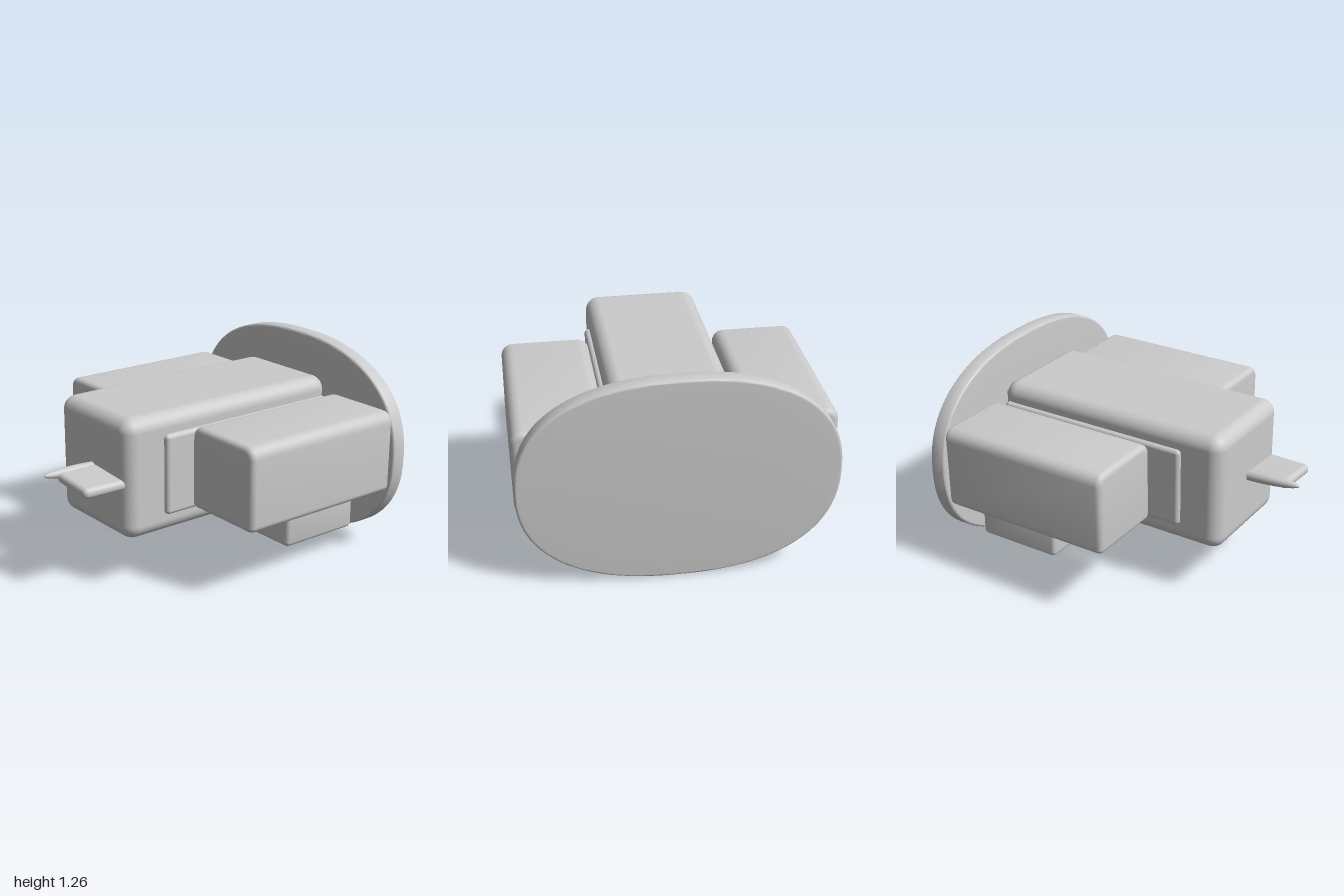
import * as THREE from 'three';
import { toCreasedNormals } from 'three/addons/utils/BufferGeometryUtils.js';
import { RoundedBoxGeometry } from 'three/addons/geometries/RoundedBoxGeometry.js';

const material = new THREE.MeshStandardMaterial({ color: 0xcccccc });

// Shape extruded along z from z0 to z1, with rounded rims of size b
function extrude(shape, z0, z1, b, curveSegments = 6) {
  const geo = new THREE.ExtrudeGeometry(shape, {
    depth: z1 - z0 - 2 * b, bevelSize: b, bevelThickness: b, bevelSegments: 5, curveSegments,
  });
  geo.translate(0, 0, z0 + b);
  return toCreasedNormals(geo, 0.7);
}

// Block whose top and bottom edges have their own radii (rt, rb); b rounds the ends
function blockGeometry([x0, x1], [y0, y1], [z0, z1], rt, rb, b) {
  const l = x0 + b, r = x1 - b, d = y0 + b, u = y1 - b;
  const t = Math.max(rt - b, 0.004), o = Math.max(rb - b, 0.004);
  const s = new THREE.Shape();
  s.moveTo(l + o, d);
  s.lineTo(r - o, d);
  s.quadraticCurveTo(r, d, r, d + o);
  s.lineTo(r, u - t);
  s.quadraticCurveTo(r, u, r - t, u);
  s.lineTo(l + t, u);
  s.quadraticCurveTo(l, u, l, u - t);
  s.lineTo(l, d + o);
  s.quadraticCurveTo(l, d, l + o, d);
  return extrude(s, z0, z1, b);
}

function roundedBox([x0, x1], [y0, y1], [z0, z1], radius) {
  const geo = new RoundedBoxGeometry(x1 - x0, y1 - y0, z1 - z0, 5, radius);
  return geo.translate((x0 + x1) / 2, (y0 + y1) / 2, (z0 + z1) / 2);
}

export function createModel() {
  const group = new THREE.Group();
  const add = (name, geo) => {
    const mesh = new THREE.Mesh(geo, material);
    mesh.name = name;
    group.add(mesh);
    return mesh;
  };

  // Oval back plate, slightly squarer than an ellipse
  const bevel = 0.015, points = [];
  for (let i = 0; i < 96; i++) {
    const a = (i / 96) * Math.PI * 2, c = Math.cos(a), s = Math.sin(a), p = 2 / 2.35;
    points.push(new THREE.Vector2(
      Math.sign(c) * Math.abs(c) ** p * (0.91 - bevel),
      0.633 + Math.sign(s) * Math.abs(s) ** p * (0.63 - bevel)));
  }
  add('backPlate', extrude(new THREE.Shape(points), -1, -0.9, bevel));

  // Long central body and the pad that joins it to the plate
  add('centralBody', roundedBox([-0.355, 0.35], [0.31, 1.04], [-0.875, 0.67], 0.085));
  add('centralPad', roundedBox([-0.28, 0.27], [0.38, 0.97], [-0.93, -0.8], 0.03));

  // Side blocks, their pads, and the thin panels beside the central body
  for (const [side, sx] of [['left', 1], ['right', -1]]) {
    const span = (a, b) => (sx > 0 ? [a, b] : [-b, -a]);
    add(side + 'Block', blockGeometry(span(0.375 + (sx < 0 ? 0.025 : 0), 0.91), [0.44, 0.945], [-0.88, 0.23], 0.075, 0.025, 0.035));
    add(side + 'Pad', roundedBox(span(0.5, 0.82), [0.5, 0.88], [-0.93, -0.82], 0.02));
    add(side + 'Panel', roundedBox(span(0.3, 0.38), [0.43, 0.92], [-0.845, 0.41], 0.025));
  }

  // Crossbar below, with a shallow foot underneath
  add('crossbar', blockGeometry([-0.665, 0.65], [0.125, 0.39], [-0.84, -0.29], 0.035, 0.02, 0.03));
  add('foot', blockGeometry([-0.25, 0.22], [0.07, 0.2], [-0.84, -0.39], 0.03, 0.06, 0.025));

  // Front lever: flat blade with a pointed fin along its edge
  const blade = roundedBox([0, 0.31], [0.633, 0.695], [0.6, 0.92], 0.029);
  const pos = blade.attributes.position;
  for (let i = 0; i < pos.count; i++) {
    const x = pos.getX(i), z = pos.getZ(i);
    if (z > 0.75) pos.setX(i, x * (1 - (z - 0.75) * 0.25));
    pos.setY(i, pos.getY(i) + 0.01 * (1 - x / 0.15));
  }
  blade.computeVertexNormals();
  add('leverBlade', blade);

  const fin = add('leverFin', new THREE.SphereGeometry(1, 24, 16).rotateX(Math.PI / 2));
  fin.scale.set(0.036, 0.034, 0.26);
  fin.position.set(-0.005, 0.683, 0.74);
  fin.rotation.x = -0.05;

  return group;
}
